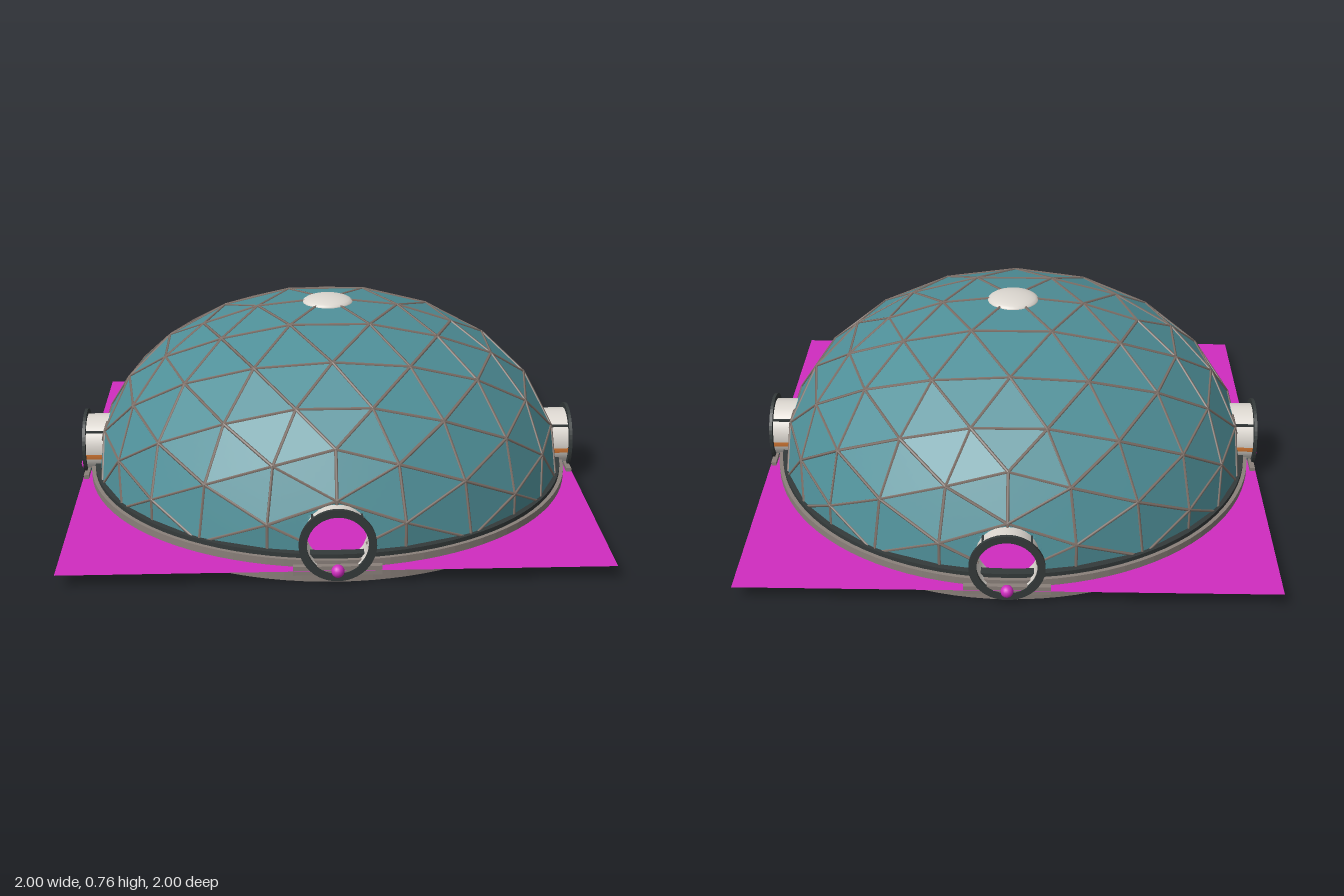
import * as THREE from 'three';
import { mergeGeometries } from 'three/addons/utils/BufferGeometryUtils.js';

const material = (name, color, extra = {}) => {
  const m = new THREE.MeshStandardMaterial({ color, ...extra });
  m.name = name;
  return m;
};
const DOME = { radius: 0.925, height: 0.665, base: 0.08 };
const TUNNEL = { y: 0.15, radius: 0.112 };

// Pushes a point inside a tunnel bore out to its wall; returns true if it was inside
function pushFromBore(p) {
  const along = Math.abs(p.x) > Math.abs(p.z) ? 'x' : 'z';
  const across = along === 'x' ? 'z' : 'x';
  const dy = p.y - TUNNEL.y;
  const d = Math.hypot(p[across], dy);
  if (Math.abs(p[along]) < 0.6 || d >= TUNNEL.radius) return false;
  const k = TUNNEL.radius / Math.max(d, 1e-4);
  p[across] *= k;
  p.y = TUNNEL.y + dy * k;
  return true;
}

// Flattened geodesic faces of the upper half
function domeFaces() {
  const pos = new THREE.IcosahedronGeometry(1, 3).attributes.position;
  const faces = [];
  for (let i = 0; i < pos.count; i += 3) {
    const face = [0, 1, 2].map((k) => {
      const v = new THREE.Vector3().fromBufferAttribute(pos, i + k);
      return v.multiply(new THREE.Vector3(DOME.radius, DOME.height, DOME.radius)).setY(v.y + DOME.base);
    });
    if (Math.max(...face.map((v) => v.y)) > DOME.base + 0.01) faces.push(face);
  }
  return faces;
}

// Panels, finely split near the openings so the bores can be cut out
function panelGeometry(faces) {
  const out = [];
  for (const [a, b, c] of faces) {
    const n = Math.min(a.y, b.y, c.y) < 0.35 ? 12 : 1;
    const at = (i, j) => a.clone()
      .addScaledVector(b.clone().sub(a), i / n)
      .addScaledVector(c.clone().sub(a), j / n);
    const add = (...tri) => {
      if ((tri[0].y + tri[1].y + tri[2].y) / 3 < 0.06) return;
      const inside = tri.map(pushFromBore);
      if (inside.every(Boolean)) return;
      tri.forEach((v) => out.push(v.x, v.y, v.z));
    };
    for (let i = 0; i < n; i++) {
      for (let j = 0; j < n - i; j++) {
        add(at(i, j), at(i + 1, j), at(i, j + 1));
        if (i + j < n - 1) add(at(i + 1, j), at(i + 1, j + 1), at(i, j + 1));
      }
    }
  }
  const g = new THREE.BufferGeometry();
  g.setAttribute('position', new THREE.Float32BufferAttribute(out, 3));
  g.computeVertexNormals();
  return g;
}

// Slim four-sided bars along every panel edge
function strutGeometry(faces) {
  const seen = new Set();
  const bars = [];
  const up = new THREE.Vector3(0, 1, 0);
  for (const face of faces) {
    for (let k = 0; k < 3; k++) {
      const a = face[k], b = face[(k + 1) % 3];
      const mid = a.clone().add(b).multiplyScalar(0.5);
      const key = mid.toArray().map((v) => Math.round(v * 1000)).join();
      if (seen.has(key)) continue;
      seen.add(key);
      const n = Math.min(a.y, b.y) < 0.35 ? 12 : 1;
      const turn = new THREE.Quaternion().setFromUnitVectors(up, b.clone().sub(a).normalize());
      const length = a.distanceTo(b) / n;
      for (let i = 0; i < n; i++) {
        const p = a.clone().lerp(b, (i + 0.5) / n);
        if (p.y < 0.075 || pushFromBore(p.clone())) continue;
        bars.push(new THREE.CylinderGeometry(0.006, 0.006, length, 4, 1, n > 1)
          .applyQuaternion(turn).translate(p.x, p.y, p.z));
      }
    }
  }
  return mergeGeometries(bars);
}

// Closed ring with a rectangular section, around the y axis
function ringGeometry(inner, outer, y0, y1, segments) {
  const profile = [[inner, y0], [outer, y0], [outer, y1], [inner, y1], [inner, y0]];
  const g = new THREE.LatheGeometry(profile.map(([x, y]) => new THREE.Vector2(x, y)), segments).toNonIndexed();
  g.computeVertexNormals();
  return g;
}

export function createModel() {
  const model = new THREE.Group();
  model.name = 'geodesicDome';
  const double = { side: THREE.DoubleSide };
  const teal = material('teal panel', 0x4f8f98, { ...double, flatShading: true });
  const strut = material('strut brown', 0x85776f);
  const stone = material('base grey', 0x8a807a);
  const dark = material('dark trim', 0x343a3a);
  const light = material('light shell', 0xdcd7d0, double);
  const orange = material('orange stripe', 0xdf7f38, double);
  const magenta = material('magenta', 0xd02cc0, double);
  const add = (parent, name, geometry, mat, x = 0, y = 0, z = 0) => {
    const mesh = new THREE.Mesh(geometry, mat);
    mesh.name = name;
    mesh.position.set(x, y, z);
    parent.add(mesh);
    return mesh;
  };

  // Dome
  const faces = domeFaces();
  add(model, 'domePanels', panelGeometry(faces), teal);
  add(model, 'domeStruts', strutGeometry(faces), strut);
  add(model, 'topCap', new THREE.SphereGeometry(0.1, 32, 12).scale(1, 0.27, 1), light, 0, 0.73, 0);

  // Foundation and ground plate
  add(model, 'baseFloor', new THREE.CylinderGeometry(0.945, 0.945, 0.02, 96), stone, 0, 0.01, 0);
  add(model, 'baseWall', ringGeometry(0.925, 0.95, 0, 0.082, 96), stone);
  add(model, 'baseTrim', ringGeometry(0.9, 0.935, 0.075, 0.098, 96), dark);
  add(model, 'groundPlate', new THREE.PlaneGeometry(1.95, 1.95).rotateX(-Math.PI / 2), magenta, 0, 0.055, 0);

  // Four entrance tunnels
  const arc = (radius, from, to, length) => new THREE.CylinderGeometry(
    radius, radius, length, 24, 1, true, from, to - from).rotateX(-Math.PI / 2);
  for (let i = 0; i < 4; i++) {
    const tunnel = new THREE.Group();
    tunnel.name = 'entranceTunnel' + (i + 1);
    tunnel.rotation.y = i * Math.PI / 2;
    model.add(tunnel);
    const y = TUNNEL.y, z = 0.915, length = 0.11;
    const top = Math.PI; // roof direction on the rotated cylinder
    const roof = 0.83;
    add(tunnel, 'tunnelRoof', arc(0.116, top - roof, top + roof, length), teal, 0, y, z);
    add(tunnel, 'tunnelShell', arc(0.115, top + roof, top + 2 * Math.PI - roof, length), light, 0, y, z);
    add(tunnel, 'tunnelLining', arc(0.108, 0, 2 * Math.PI, length), light, 0, y, z);
    for (const side of [-1, 1]) {
      const mid = top + side * 1.4;
      add(tunnel, 'sideStripe', arc(0.1165, mid - 0.09, mid + 0.09, length), orange, 0, y, z);
      const edge = roof + 0.02;
      add(tunnel, 'roofEdge', new THREE.BoxGeometry(0.008, 0.008, length), dark,
        side * 0.115 * Math.sin(edge), y + 0.115 * Math.cos(edge), z);
    }
    add(tunnel, 'doorRing', ringGeometry(0.107, 0.135, -0.006, 0.006, 48).rotateX(Math.PI / 2), dark, 0, y, 0.969);
    add(tunnel, 'threshold', new THREE.BoxGeometry(0.31, 0.033, 0.02), stone, 0, 0.054, 0.962);
    add(tunnel, 'marker', new THREE.SphereGeometry(0.023, 16, 12), magenta, 0, 0.055, 0.977);
  }
  return model;
}
